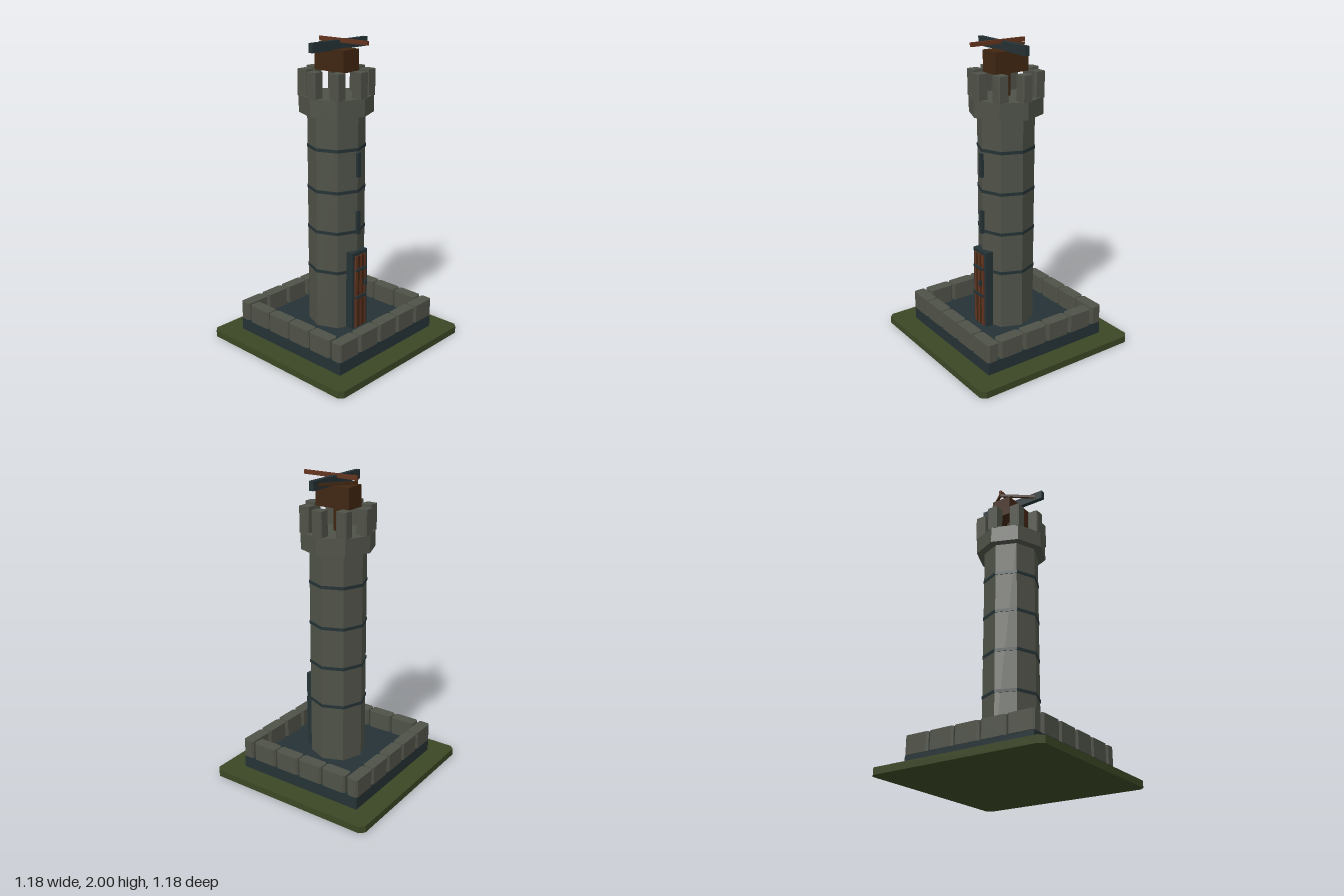
import * as THREE from 'three';

const material = (name, color) => {
  const m = new THREE.MeshStandardMaterial({ color });
  m.name = name;
  return m;
};

export function createModel() {
  const model = new THREE.Group();
  model.name = 'watchtower';
  const stone = material('stone', 0x4f5248);
  const slate = material('slate', 0x253235);
  const grass = material('grass', 0x3b4725);
  const brown = material('dark wood', 0x402611);
  const red = material('red wood', 0x63341f);

  const add = (name, geometry, mat, x = 0, y = 0, z = 0, parent = model) => {
    const mesh = new THREE.Mesh(geometry, mat);
    mesh.name = name;
    mesh.position.set(x, y, z);
    parent.add(mesh);
    return mesh;
  };
  const group = (name) => {
    const g = new THREE.Group();
    g.name = name;
    model.add(g);
    return g;
  };
  const box = (w, h, d) => new THREE.BoxGeometry(w, h, d);

  // Upright block with cut vertical corners, standing on y = 0
  const block = (w, h, d, c) => {
    const a = w / 2, b = d / 2;
    const shape = new THREE.Shape([
      [a - c, -b], [a, c - b], [a, b - c], [a - c, b],
      [c - a, b], [-a, b - c], [-a, c - b], [c - a, -b],
    ].map(([x, y]) => new THREE.Vector2(x, y)));
    return new THREE.ExtrudeGeometry(shape, { depth: h, bevelEnabled: false }).rotateX(-Math.PI / 2);
  };
  // Eight-sided drum with hard edges and a corner towards the front
  const drum = (r, h) => {
    const g = new THREE.CylinderGeometry(r, r, h, 8).toNonIndexed();
    g.computeVertexNormals();
    return g;
  };

  // Ground and platform
  add('ground', block(1.18, 0.045, 1.18, 0.03), grass);
  add('platform', box(0.9, 0.085, 0.9), slate, 0, 0.0875, 0);

  // Low wall: five blocks front and back, four on each side
  const wall = group('wall');
  const longBlock = block(0.174, 0.12, 0.078, 0.012);
  const sideBlock = block(0.078, 0.12, 0.174, 0.012);
  for (const s of [-1, 1]) {
    for (let i = 0; i < 5; i++) add('wallBlock', longBlock, stone, (i - 2) * 0.183, 0.13, s * 0.416, wall);
    for (let i = 0; i < 4; i++) add('wallBlock', sideBlock, stone, s * 0.416, 0.13, (i - 1.5) * 0.183, wall);
  }

  // Shaft with bands and arrow slits
  add('shaft', drum(0.183, 1.45), stone, 0, 0.855, 0);
  for (let i = 0; i < 4; i++) add('band', drum(0.187, 0.02), slate, 0, 0.52 + i * 0.27, 0);
  for (const y of [0.852, 1.232]) add('arrowSlit', box(0.026, 0.156, 0.03), slate, 0, y, 0.182);

  // Crown and eight merlons
  add('crown', drum(0.235, 0.11), stone, 0, 1.598, 0);
  const merlons = group('merlons');
  const merlon = block(0.074, 0.165, 0.074, 0.007);
  for (let i = 0; i < 8; i++) {
    const a = i * Math.PI / 4;
    add('merlon', merlon, stone, Math.sin(a) * 0.193, 1.648, Math.cos(a) * 0.193, merlons);
  }

  // Door: frame, planks, straps and handle
  const door = group('door');
  add('doorFrame', box(0.142, 0.53, 0.087), slate, 0, 0.395, 0.1635, door);
  for (let i = 0; i < 5; i++) {
    add('plank', box(0.019, 0.5, 0.02), i % 2 ? brown : red, (i - 2) * 0.02, 0.385, 0.207, door);
  }
  for (const y of [0.35, 0.542]) add('strap', box(0.1, 0.018, 0.012), slate, 0, y, 0.22, door);
  add('handle', box(0.014, 0.04, 0.02), slate, 0.032, 0.443, 0.226, door);

  // Mounted crossbow
  const crossbow = group('crossbow');
  add('post', new THREE.CylinderGeometry(0.03, 0.03, 0.17, 8), brown, 0, 1.73, 0, crossbow);
  add('mount', box(0.136, 0.135, 0.246), brown, 0, 1.87, 0, crossbow);
  add('bow', box(0.49, 0.058, 0.03), slate, 0, 1.961, 0.021, crossbow);
  add('stock', box(0.016, 0.026, 0.393), red, 0, 1.987, 0.058, crossbow);
  for (const s of [-1, 1]) {
    const start = new THREE.Vector3(s * 0.19, 1.96, 0.01);
    const end = new THREE.Vector3(0, 1.96, -0.135);
    const cord = add('cord', box(0.014, 0.018, start.distanceTo(end)), brown, 0, 0, 0, crossbow);
    cord.position.copy(start).lerp(end, 0.5);
    cord.lookAt(end);
  }
  return model;
}
